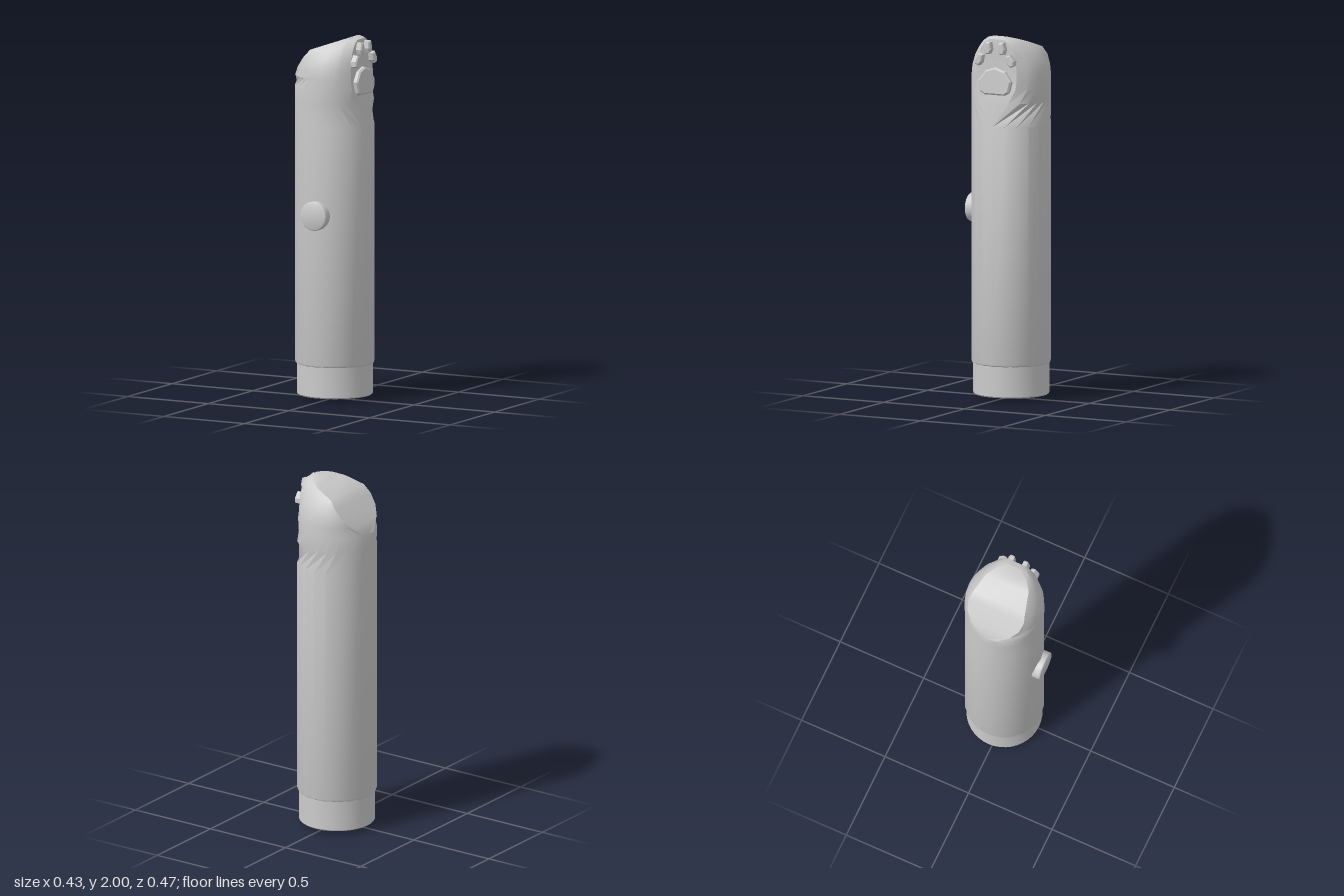
import * as THREE from 'three';
import { toCreasedNormals } from 'three/addons/utils/BufferGeometryUtils.js';

const R = 0.217, CZ = -0.017;
const grey = new THREE.MeshStandardMaterial({ color: 0xcccccc });

function add(group, name, geometry, x = 0, y = 0, z = 0) {
  const mesh = new THREE.Mesh(geometry, grey);
  mesh.name = name;
  mesh.position.set(x, y, z);
  group.add(mesh);
  return mesh;
}

// One closed section: a round tube cut by the sloping crown (left) and the bevelled paw face (right)
function section([y, r, xCrown, xBevel, xFace, halfDepth, zFace]) {
  const N = 11, half = [[xFace, zFace]];
  const a1 = Math.acos(Math.min(1, xBevel / r)), a2 = Math.acos(Math.max(-1, xCrown / r));
  for (let i = 0; i < N; i++) {
    const a = a1 + (a2 - a1) * i / (N - 1);
    half.push([r * Math.cos(a), halfDepth * Math.sin(a)]);
  }
  const mirrored = half.map(([x, z]) => [x, -z]).reverse();
  return [...half, ...mirrored].map(([x, z]) => new THREE.Vector3(x, y, z));
}

function loft(rings) {
  const pos = [], n = rings[0].length;
  const tri = (a, b, c) => {
    const area = b.clone().sub(a).cross(c.clone().sub(a)).length();
    if (area > 1e-9) for (const p of [a, b, c]) pos.push(p.x, p.y, p.z);
  };
  for (let k = 0; k < rings.length - 1; k++) {
    for (let i = 0; i < n; i++) {
      const j = (i + 1) % n, lo = rings[k], hi = rings[k + 1];
      tri(lo[i], hi[i], lo[j]);
      tri(hi[i], hi[j], lo[j]);
    }
  }
  // end caps
  for (const [ring, top] of [[rings[0], false], [rings[rings.length - 1], true]]) {
    const c = ring.reduce((s, p) => s.add(p), new THREE.Vector3()).divideScalar(n);
    for (let i = 0; i < n; i++) {
      const j = (i + 1) % n;
      if (top) tri(c, ring[j], ring[i]); else tri(c, ring[i], ring[j]);
    }
  }
  const g = new THREE.BufferGeometry();
  g.setAttribute('position', new THREE.Float32BufferAttribute(pos, 3));
  return toCreasedNormals(g, 0.55);
}

// Solid turned from a profile, with crisp rims
function turned(points, sides) {
  const g = new THREE.LatheGeometry(points.map(([r, y]) => new THREE.Vector2(r, y)), sides);
  return toCreasedNormals(g, 0.5);
}

// Raised pad: an outline extruded outwards along +x with a chamfered rim
function padGeometry(outline, depth, bevel) {
  const shape = new THREE.Shape(outline.map(([x, y]) => new THREE.Vector2(x, y)));
  const g = new THREE.ExtrudeGeometry(shape, {
    depth, bevelEnabled: true, bevelThickness: bevel, bevelSize: bevel, bevelOffset: -bevel, bevelSegments: 1,
  });
  return g.rotateY(Math.PI / 2);
}

export function createModel() {
  const model = new THREE.Group();

  // Tube with rounded paw crown: y, radius, crown x, bevel x, face x, half depth, face half width
  const rows = [
    [0.193, 0.206, -0.206, 0.206, 0.206, 0.206, 0],
    [0.198, 0.214, -0.214, 0.214, 0.214, 0.214, 0],
    [0.207, R, -R, R, R, R, 0],
    [1.51, R, -R, R, R, R, 0],
    [1.64, R, -R, 0.165, 0.19, 0.217, 0.085],
    [1.72, R, -R, 0.132, 0.172, 0.217, 0.12],
    [1.78, R, -0.182, 0.128, 0.168, 0.215, 0.125],
    [1.83, R, -0.146, 0.128, 0.166, 0.209, 0.122],
    [1.885, R, -0.106, 0.128, 0.166, 0.19, 0.115],
    [1.93, R, -0.068, 0.128, 0.166, 0.163, 0.1],
    [1.967, R, 0.036, 0.128, 0.166, 0.13, 0.075],
    [1.986, R, 0.09, 0.128, 0.164, 0.1, 0.045],
    [2.0, R, 0.126, 0.13, 0.132, 0.045, 0.02],
  ];
  add(model, 'body', loft(rows.map(section)), 0, 0, CZ);

  // Base collar and the small contact under it
  add(model, 'baseCollar', turned([[0, 0.022], [0.2, 0.022], [0.207, 0.029], [0.207, 0.2], [0, 0.2]], 40), 0, 0, CZ);
  add(model, 'baseContact', new THREE.SphereGeometry(0.018, 16, 10), 0, 0.018, CZ);

  // Push button on the front
  const button = turned([[0.08, -0.03], [0.08, 0.034], [0.077, 0.039], [0.071, 0.042], [0, 0.042]], 28);
  add(model, 'button', button.rotateX(Math.PI / 2), 0, 1.03, 0.19);

  // Paw pads on the left face
  const halfPalm = [[0, 0.082], [0.06, 0.062], [0.1, 0.008], [0.088, -0.052], [0.06, -0.068]];
  const palmOutline = [...halfPalm.slice().reverse(), ...halfPalm.slice(1).map(([x, y]) => [-x, y])];
  const palm = add(model, 'palmPad', padGeometry(palmOutline, 0.03, 0.008), 0.158, 1.75, CZ);
  palm.rotation.z = 0.07;

  const toeOutline = [[0.012, -0.033], [0.022, -0.008], [0.013, 0.032], [-0.013, 0.032], [-0.022, -0.008], [-0.012, -0.033]];
  for (const side of [-1, 1]) {
    for (const [name, u, y, lean] of [['innerToePad', 0.042, 1.94, 0.06], ['outerToePad', 0.096, 1.875, 0.4]]) {
      const toe = add(model, name, padGeometry(toeOutline, 0.036, 0.006), 0.157, y, CZ - side * u);
      toe.rotation.x = side * lean;
    }
  }
  return model;
}
